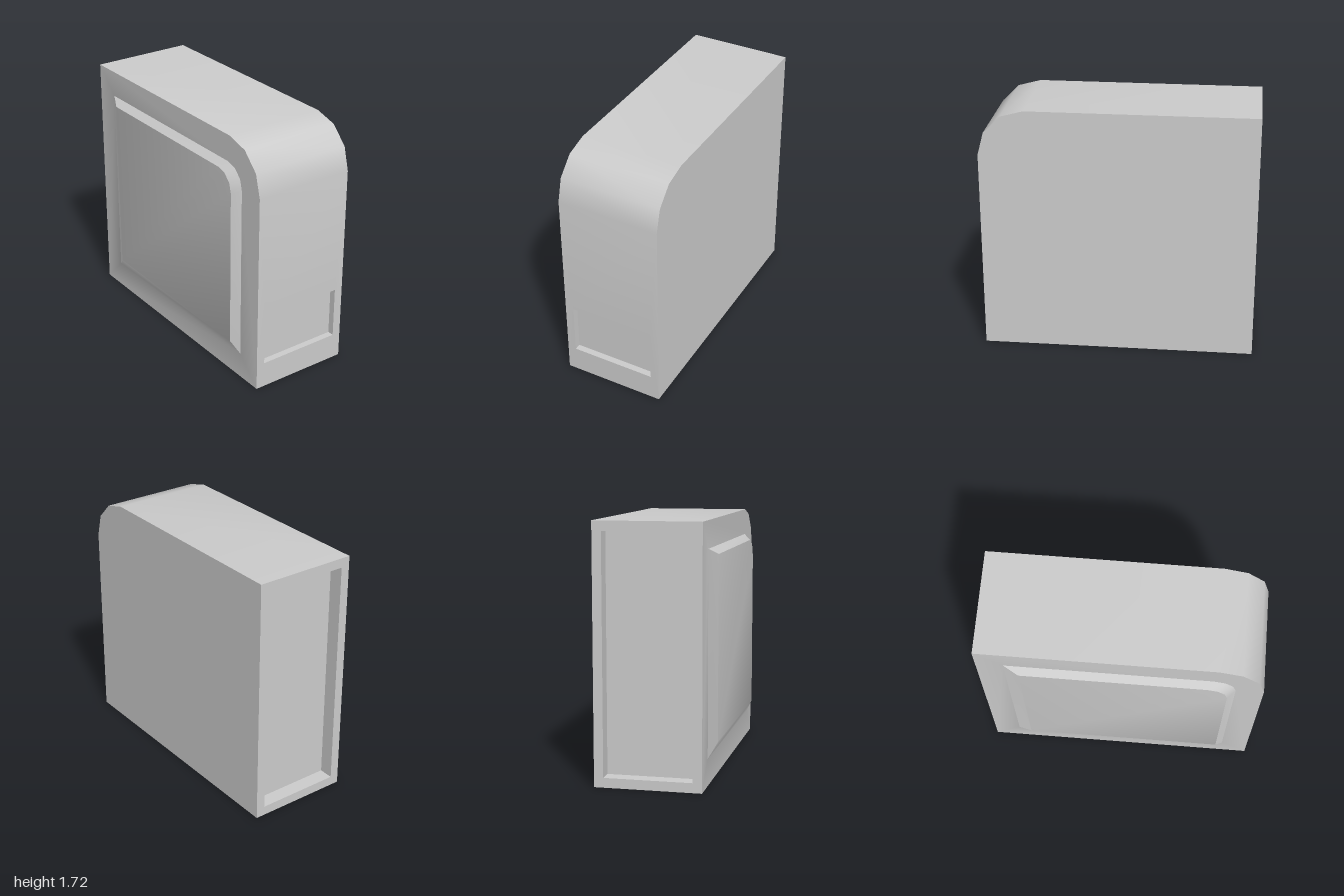
import * as THREE from 'three';
import { mergeGeometries, toCreasedNormals } from 'three/addons/utils/BufferGeometryUtils.js';

const L = 0.935, D = 0.355, H = 1.715; // half length, half thickness, height
const R = 0.315;                       // rounded upper corner
const CREASE = 0.6;

const rect = (x0, y0, x1, y1) => [[x0, y0], [x1, y0], [x1, y1], [x0, y1]];

// Rectangle with its upper right corner rounded in three steps
function roundedRect(x0, y0, x1, y1, r) {
  const pts = [[x0, y0], [x1, y0]];
  for (let i = 0; i <= 3; i++) {
    const a = i * Math.PI / 6;
    pts.push([x1 - r + r * Math.cos(a), y1 - r + r * Math.sin(a)]);
  }
  pts.push([x0, y1]);
  return pts;
}

// Strip of quads joining loop a at depth za to loop b at depth zb
function band(a, b, za, zb, closed) {
  const pos = [];
  for (let i = 0; i < a.length - (closed ? 0 : 1); i++) {
    const j = (i + 1) % a.length;
    const p = [...a[i], za], q = [...a[j], za], r = [...b[j], zb], s = [...b[i], zb];
    pos.push(...p, ...q, ...r, ...p, ...r, ...s);
  }
  const g = new THREE.BufferGeometry();
  g.setAttribute('position', new THREE.Float32BufferAttribute(pos, 3));
  return g;
}

// Flat face at depth z, optionally with a hole
function face(outer, hole, z = 0) {
  const toVec = (pts) => pts.map(([x, y]) => new THREE.Vector2(x, y));
  const shape = new THREE.Shape(toVec(outer));
  if (hole) shape.holes.push(new THREE.Path(toVec(hole)));
  const g = new THREE.ShapeGeometry(shape).toNonIndexed();
  g.deleteAttribute('uv');
  g.deleteAttribute('normal');
  return g.translate(0, 0, z);
}

// Face with a raised (depth > 0) or sunken (depth < 0) field
function steppedPanel(outer, rim, field, depth) {
  return mergeGeometries([
    face(outer, rim),
    band(rim, field, 0, depth, true),
    face(field, null, depth),
  ]);
}

export function createModel() {
  const group = new THREE.Group();
  const material = new THREE.MeshStandardMaterial({ color: 0xcccccc });
  const add = (name, geometry) => {
    const mesh = new THREE.Mesh(toCreasedNormals(geometry, CREASE), material);
    mesh.name = name;
    group.add(mesh);
  };

  const profile = roundedRect(-L, 0, L, H, R);

  // Top and rounded corner, run together with the narrow end and its slot
  const slot = rect(-0.295, 0.18, 0.295, 0.535);
  const slottedEnd = steppedPanel(rect(-D, 0, D, H - R), slot, slot, -0.045);
  slottedEnd.rotateY(Math.PI / 2).translate(L, 0, 0);
  const over = profile.slice(2);
  add('topAndSlottedEnd', mergeGeometries([band(over, over, -D, D, false), slottedEnd]));

  // Underside
  const under = profile.slice(0, 2);
  add('underside', band(under, under, -D, D, false));

  // Broad front with a raised field: steep at top and right, gentle at left and bottom
  const front = steppedPanel(
    profile,
    roundedRect(-0.755, 0.18, 0.752, 1.535, 0.15),
    roundedRect(-0.655, 0.27, 0.7, 1.495, 0.135),
    0.047,
  );
  add('frontPanel', front.translate(0, 0, D));

  // Plain broad back
  const mirrored = profile.map(([x, y]) => [-x, y]).reverse();
  add('backPanel', face(mirrored).rotateY(Math.PI).translate(0, 0, -D));

  // Other narrow end with a tall recess
  const recess = rect(-D + 0.062, 0.065, D - 0.062, H - 0.065);
  const recessedEnd = steppedPanel(rect(-D, 0, D, H), recess, recess, -0.1);
  add('recessedEnd', recessedEnd.rotateY(-Math.PI / 2).translate(-L, 0, 0));

  // The whole case stands turned on its base
  group.rotation.y = -0.4155;
  const model = new THREE.Group();
  group.name = 'case';
  model.add(group);
  return model;
}
